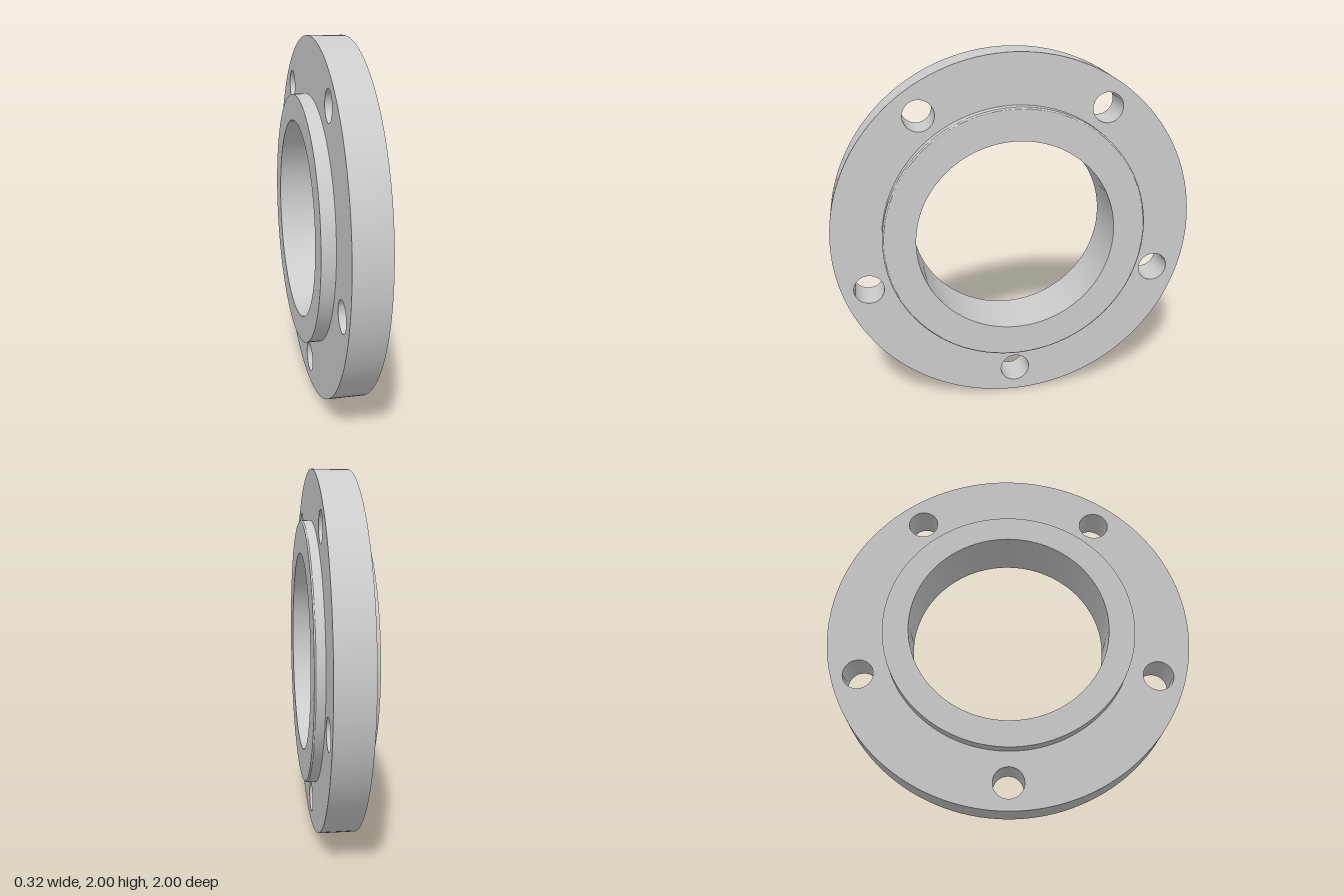
import * as THREE from 'three';
import { toCreasedNormals } from 'three/addons/utils/BufferGeometryUtils.js';

const SEGMENTS = 128;
const LEFT = -0.09, RIGHT = 0.105; // flange faces along x
const BORE = 0.548, BOSS_LEFT = 0.69, BOSS_RIGHT = 0.727;
const BOLT_CIRCLE = 0.855, BOLT_RADIUS = 0.083;

export function createModel() {
  const model = new THREE.Group();
  const material = new THREE.MeshStandardMaterial({ color: 0xcccccc });

  const add = (name, geometry) => {
    const mesh = new THREE.Mesh(geometry, material);
    mesh.name = name;
    mesh.position.y += 1;
    model.add(mesh);
    return mesh;
  };

  // Revolves [radius, x] points around the x axis
  const revolve = (points, segments = SEGMENTS) => {
    const profile = points.map(([r, x]) => new THREE.Vector2(r, x));
    const geometry = new THREE.LatheGeometry(profile, segments).rotateZ(-Math.PI / 2);
    return toCreasedNormals(geometry, 0.5);
  };

  const circle = (Type, x, y, r) => new Type().absarc(x, y, r, 0, Math.PI * 2, false);

  // Five bolt positions, the first at the bottom
  const bolts = Array.from({ length: 5 }, (_, i) => {
    const a = -Math.PI / 2 + (i * Math.PI * 2) / 5;
    return [Math.cos(a) * BOLT_CIRCLE, Math.sin(a) * BOLT_CIRCLE];
  });

  // Flange rim
  add('flangeRim', revolve([[1, LEFT], [1, RIGHT]]));

  // Flange faces, pierced by the boss and the bolt holes
  for (const [name, x, side, boss] of [
    ['flangeFaceLeft', LEFT, -1, BOSS_LEFT],
    ['flangeFaceRight', RIGHT, 1, BOSS_RIGHT],
  ]) {
    const face = circle(THREE.Shape, 0, 0, 1);
    face.holes.push(circle(THREE.Path, 0, 0, boss));
    for (const [u, v] of bolts) face.holes.push(circle(THREE.Path, u, v, BOLT_RADIUS));
    const geometry = new THREE.ShapeGeometry(face, SEGMENTS / 2);
    add(name, geometry.rotateY((side * Math.PI) / 2)).position.x = x;
  }

  // Both bosses and the bore, with a softened edge on the right boss
  add('hub', revolve([
    [BOSS_RIGHT, RIGHT], [BOSS_RIGHT, 0.152], [BOSS_RIGHT - 0.003, 0.157], [BOSS_RIGHT - 0.008, 0.16],
    [BORE, 0.16], [BORE, -0.165],
    [BOSS_LEFT, -0.165], [BOSS_LEFT, LEFT],
  ]));

  // Bolt hole walls, facing inward
  const wall = revolve([[BOLT_RADIUS, RIGHT], [BOLT_RADIUS, LEFT]], 48);
  bolts.forEach(([z, y], i) => {
    const hole = add(`boltHole${i + 1}`, wall);
    hole.position.y += y;
    hole.position.z = z;
  });

  return model;
}
